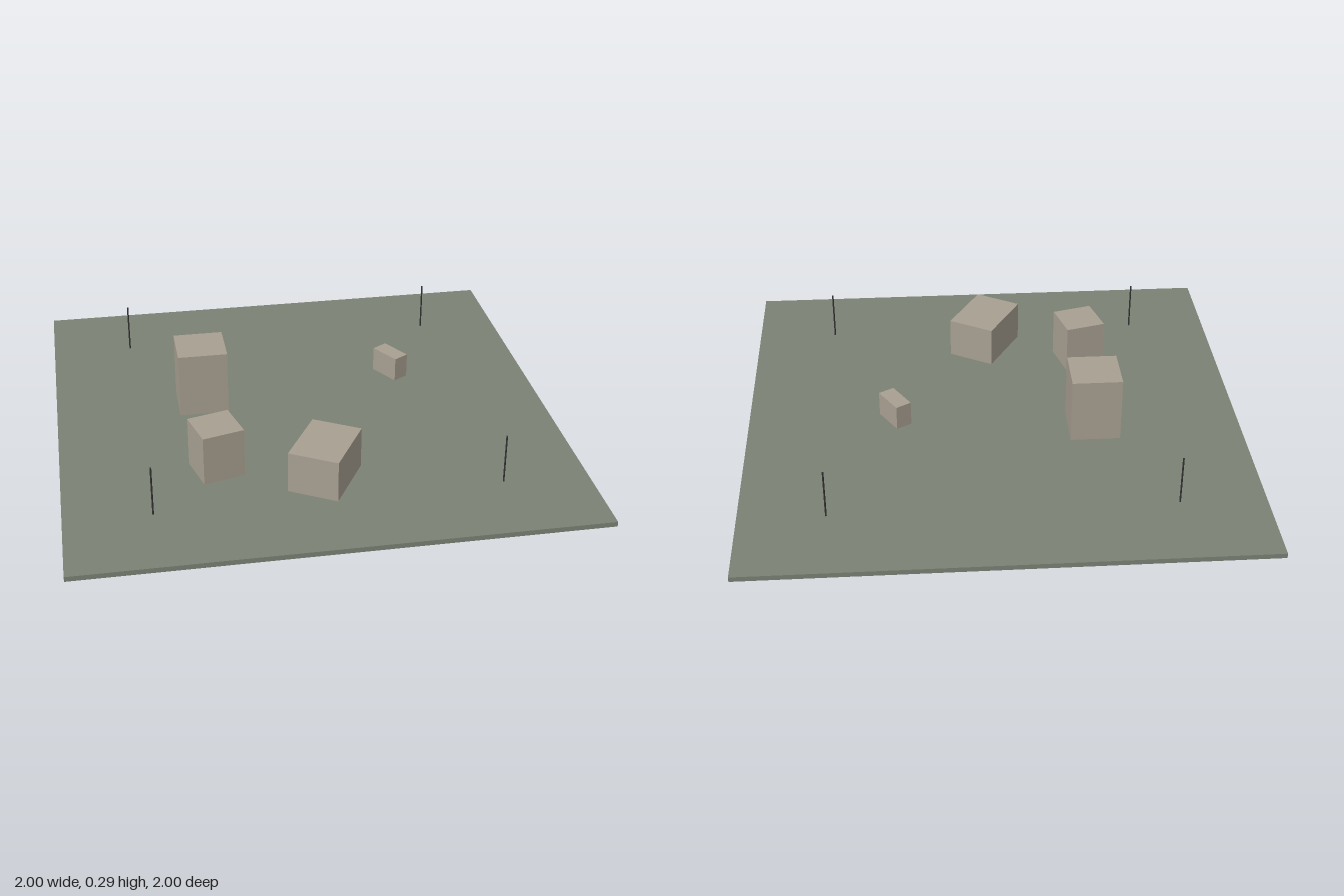
import * as THREE from 'three';

export function createModel() {
  const model = new THREE.Group();
  model.name = 'groundWithBlocks';

  const groundMat = new THREE.MeshStandardMaterial({ color: 0x7b8274 });
  const blockMat = new THREE.MeshStandardMaterial({ color: 0xa89f91 });
  const postMat = new THREE.MeshStandardMaterial({ color: 0x333333 });
  const groundTop = 0.02;

  // Adds a mesh whose underside sits at the given y
  function add(name, geometry, material, x, bottom, z, height, turn = 0) {
    const mesh = new THREE.Mesh(geometry, material);
    mesh.name = name;
    mesh.position.set(x, bottom + height / 2, z);
    mesh.rotation.y = turn;
    model.add(mesh);
  }

  // Square ground slab
  add('ground', new THREE.BoxGeometry(2, groundTop, 2), groundMat, 0, 0, 0, groundTop);

  // Blocks: name, [width, height, depth], x, bottom, z, turn
  const blocks = [
    ['tallBlock', [0.2, 0.267, 0.2], -0.4, groundTop, -0.133, 0],
    ['smallBlock', [0.167, 0.2, 0.167], -0.4, groundTop, 0.4, Math.PI / 12],
    ['wideBlock', [0.2, 0.167, 0.267], 0, groundTop, 0.533, -Math.PI / 6],
    ['floatingBlock', [0.067, 0.1, 0.133], 0.4, 0.087, -0.133, 0.54],
  ];
  for (const [name, size, x, bottom, z, turn] of blocks) {
    add(name, new THREE.BoxGeometry(...size), blockMat, x, bottom, z, size[1], turn);
  }

  // Thin posts near the four corners
  const postGeo = new THREE.CylinderGeometry(0.0033, 0.0033, 0.2, 8);
  for (const sx of [-1, 1]) {
    for (const sz of [-1, 1]) {
      const name = (sz > 0 ? 'front' : 'back') + (sx > 0 ? 'Left' : 'Right') + 'Post';
      add(name, postGeo, postMat, sx * 0.667, groundTop, sz * 0.667, 0.2);
    }
  }

  return model;
}
